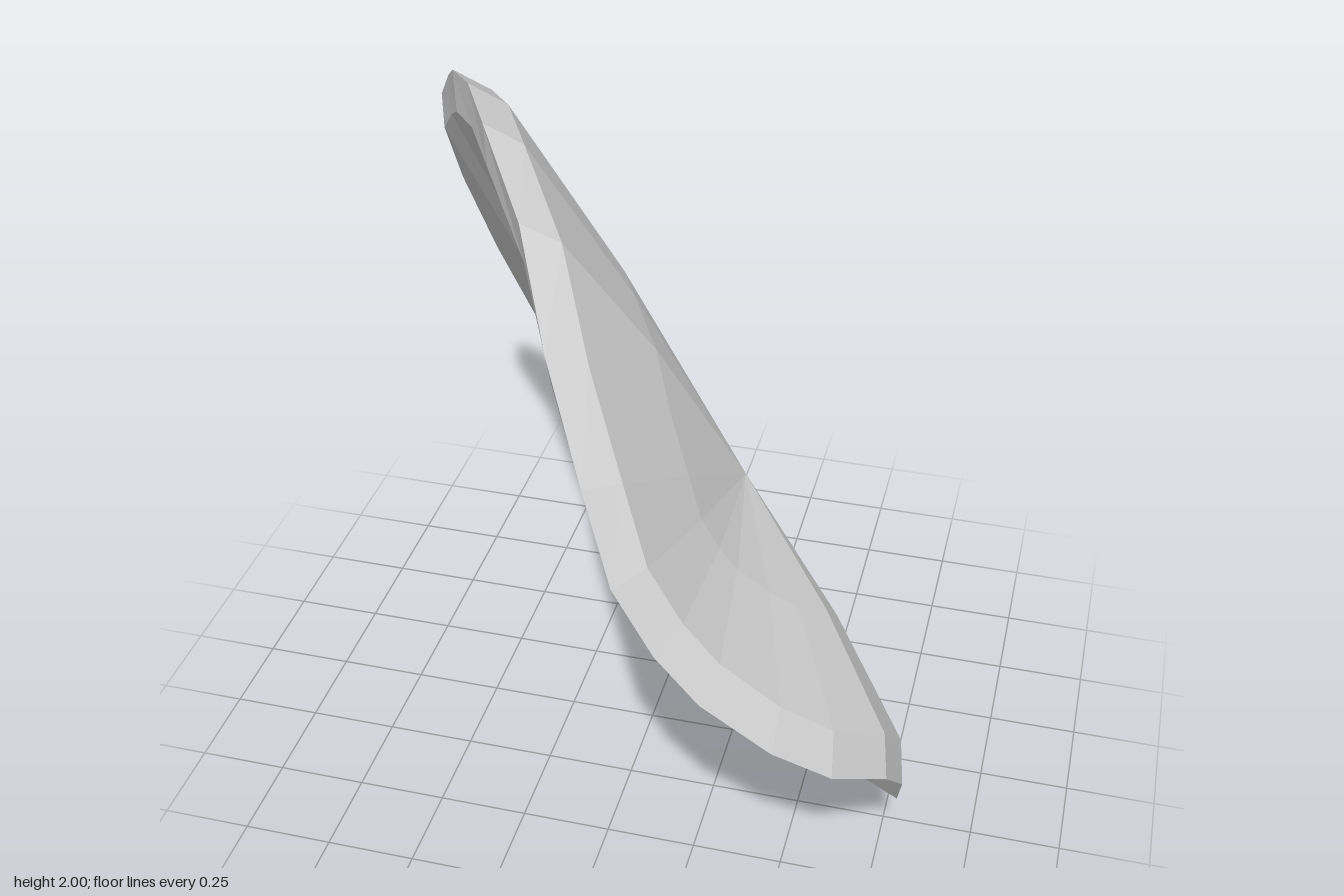
import * as THREE from 'three';

// Outer edge of the folded disc, one loop
const RIM = [
  [-0.52, 0.64, -0.945], [-0.28, 0.31, -0.86], [-0.12, 0.12, -0.69], [0.14, 0.01, -0.46],
  [0.36, 0, -0.2], [0.6, 0.08, 0.1], [0.74, 0.18, 0.32], [0.8, 0.25, 0.43], [0.82, 0.4, 0.53],
  [0.79, 0.53, 0.66], [0.67, 0.64, 0.81], [0.53, 0.76, 0.89], [0.36, 0.92, 0.94], [0.25, 1.05, 0.945],
  [0.14, 1.21, 0.92], [0.04, 1.4, 0.81], [-0.1, 1.63, 0.62], [-0.23, 1.85, 0.39],
  [-0.4, 1.98, 0.14], [-0.5, 2, -0.04], [-0.6, 1.96, -0.2], [-0.69, 1.85, -0.4],
  [-0.79, 1.7, -0.6], [-0.82, 1.42, -0.82], [-0.75, 1.12, -0.92],
].map(p => new THREE.Vector3(...p));

const OUTER_APEX = new THREE.Vector3(0.29, 1.03, 0.12); // crown of the fold
const INNER_APEX = new THREE.Vector3(0.17, 0.96, 0.24); // hollow of the fold

export function createModel() {
  const group = new THREE.Group();
  const material = new THREE.MeshStandardMaterial({ color: 0xd2d2d2, flatShading: true });
  material.name = 'pale grey';

  const n = RIM.length;
  const centre = OUTER_APEX.clone().lerp(INNER_APEX, 0.5);

  // Inward direction and face normal at each edge point
  const frames = RIM.map((p, i) => {
    const tangent = RIM[(i + 1) % n].clone().sub(RIM[(i + n - 1) % n]);
    const inward = centre.clone().sub(p).normalize();
    return { inward, normal: inward.clone().cross(tangent).normalize() };
  });

  // Bevelled shoulder and slightly swollen middle for one side
  const shoulder = (inset, lift) => RIM.map((p, i) => p.clone()
    .addScaledVector(frames[i].inward, inset).addScaledVector(frames[i].normal, lift));
  const middle = (ring, apex, lift) => ring.map((p, i) => apex.clone().lerp(p, 0.55)
    .addScaledVector(frames[i].normal, lift));
  const outer = shoulder(0.1, 0.06);
  const inner = shoulder(0.1, -0.05);
  const rings = [
    RIM.map(() => OUTER_APEX), middle(outer, OUTER_APEX, 0.02), outer, RIM,
    inner, middle(inner, INNER_APEX, -0.015), RIM.map(() => INNER_APEX),
  ];

  // Skin the rings from the outer apex over the edge to the inner apex
  const points = [];
  for (let j = 0; j < rings.length - 1; j++) {
    const a = rings[j], b = rings[j + 1];
    for (let i = 0; i < n; i++) {
      const k = (i + 1) % n;
      if (j > 0) points.push(a[i], a[k], b[i]);
      if (j < rings.length - 2) points.push(a[k], b[k], b[i]);
    }
  }
  const geometry = new THREE.BufferGeometry().setFromPoints(points);
  geometry.computeVertexNormals();

  const shell = new THREE.Mesh(geometry, material);
  shell.name = 'foldedShell';
  group.add(shell);
  return group;
}
